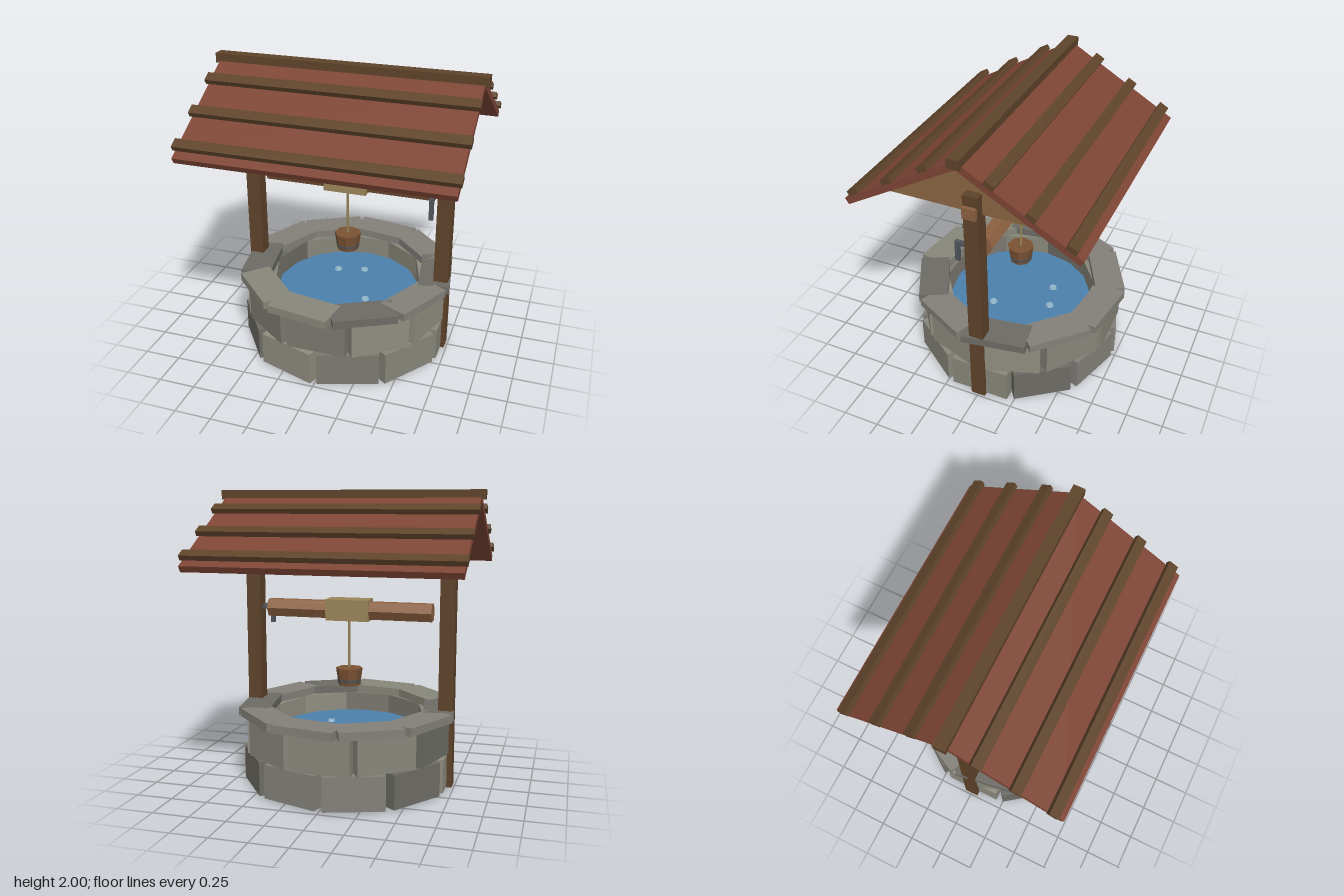
import * as THREE from 'three';

const COLORS = {
  post: 0x5e432a, plank: 0x7d4535, gable: 0x8a6642, log: 0x8c6040, rope: 0x9a8558,
  iron: 0x50555b, bucket: 0x7a5233, water: 0x4a80ad, ripple: 0x8fb4c8, liner: 0x3f3935,
};
const STONES = [0x8f8c7f, 0x7b786f, 0x83807a, 0x6c6b64, 0x87867a];

function mat(color, side = THREE.FrontSide) {
  return new THREE.MeshStandardMaterial({ color, side, flatShading: true });
}

function add(parent, name, geometry, color, x = 0, y = 0, z = 0, side) {
  const mesh = new THREE.Mesh(geometry, mat(color, side));
  mesh.name = name;
  mesh.position.set(x, y, z);
  parent.add(mesh);
  return mesh;
}

const box = (w, h, d) => new THREE.BoxGeometry(w, h, d);

function seeded(seed) {
  return () => {
    seed = (seed * 16807) % 2147483647;
    return seed / 2147483647;
  };
}

// Ring of ten straight blocks; neighbours overlap inside and leave wedge gaps outside
function stoneRing(name, { y0, y1, inner, outer, width, turn }, random) {
  const ring = new THREE.Group();
  ring.name = name;
  for (let i = 0; i < 10; i++) {
    const holder = new THREE.Group();
    holder.rotation.y = turn + (i * Math.PI) / 5;
    const face = outer + (random() - 0.5) * 0.012;
    const color = STONES[Math.floor(random() * STONES.length)];
    const w = width + (random() - 0.5) * 0.02;
    add(holder, 'stone', box(w, y1 - y0, face - inner), color, 0, (y0 + y1) / 2, (face + inner) / 2);
    ring.add(holder);
  }
  return ring;
}

// One roof side: sloping board with three battens
function roofSide(name, turn) {
  const side = new THREE.Group();
  side.name = name;
  side.rotation.y = turn;
  const slope = new THREE.Group();
  slope.position.y = 1.97;
  slope.rotation.x = Math.PI / 6;
  add(slope, 'roofBoard', box(1.77, 0.045, 0.883), COLORS.plank, 0, -0.0225, 0.4415);
  for (const s of [0.225, 0.51, 0.79]) {
    add(slope, 'batten', box(1.8, 0.036, 0.07), COLORS.post, 0, 0.022, s);
  }
  side.add(slope);
  return side;
}

export function createModel() {
  const well = new THREE.Group();
  well.name = 'well';
  const random = seeded(41);
  const deg = Math.PI / 180;

  // Stone wall
  well.add(stoneRing('lowerStones', { y0: 0.01, y1: 0.24, inner: 0.515, outer: 0.705, width: 0.405, turn: 18 * deg }, random));
  well.add(stoneRing('upperStones', { y0: 0.24, y1: 0.48, inner: 0.505, outer: 0.69, width: 0.4, turn: 0 }, random));
  well.add(stoneRing('capStones', { y0: 0.48, y1: 0.535, inner: 0.52, outer: 0.73, width: 0.43, turn: 27 * deg }, random));

  // Shaft lining and water
  add(well, 'lining', new THREE.CylinderGeometry(0.5, 0.5, 0.28, 12, 1, true), COLORS.liner, 0, 0.14, 0, THREE.BackSide);
  const water = add(well, 'water', new THREE.CircleGeometry(0.51, 16), COLORS.water, 0, 0.35, 0, THREE.DoubleSide);
  water.rotation.x = -Math.PI / 2;
  for (const [x, z] of [[-0.14, -0.2], [0.05, -0.25], [0.175, 0.14]]) {
    add(well, 'ripple', new THREE.CylinderGeometry(0.024, 0.03, 0.012, 8), COLORS.ripple, x, 0.356, z);
  }

  // Posts and gables, mirrored
  const triangle = new THREE.Shape([
    new THREE.Vector2(-0.72, 1.5), new THREE.Vector2(0.72, 1.5), new THREE.Vector2(0, 1.918),
  ]);
  for (const s of [1, -1]) {
    add(well, s > 0 ? 'leftPost' : 'rightPost', box(0.1, 1.65, 0.1), COLORS.post, s * 0.685, 0.825, 0);
    const gable = new THREE.ExtrudeGeometry(triangle, { depth: 0.03, bevelEnabled: false });
    gable.translate(0, 0, -0.015);
    gable.rotateY(Math.PI / 2);
    add(well, s > 0 ? 'leftGable' : 'rightGable', gable, COLORS.gable, s * 0.66, 0, 0);
  }
  add(well, 'crossbeam', box(1.52, 0.08, 0.09), COLORS.log, 0, 1.54, 0);

  // Roof
  well.add(roofSide('frontRoof', 0), roofSide('backRoof', Math.PI));
  add(well, 'ridge', box(1.825, 0.065, 0.08), COLORS.post, 0, 1.9675, 0);

  // Winch: six-sided log, wound rope and crank
  const log = new THREE.CylinderGeometry(0.068, 0.068, 1.16, 6);
  log.rotateZ(Math.PI / 2);
  add(well, 'winchLog', log, COLORS.log, 0, 1.19, 0);
  add(well, 'ropeCoil', box(0.3, 0.145, 0.15), COLORS.rope, 0, 1.193, 0);
  add(well, 'axle', box(0.08, 0.026, 0.026), COLORS.iron, 0.595, 1.19, 0);
  add(well, 'crankArm', box(0.028, 0.026, 0.175), COLORS.iron, 0.62, 1.195, 0.0875);
  add(well, 'crankHandle', box(0.028, 0.15, 0.028), COLORS.iron, 0.62, 1.133, 0.161);

  // Rope and bucket
  add(well, 'rope', new THREE.CylinderGeometry(0.008, 0.008, 0.36, 6), COLORS.rope, 0, 0.96, 0);
  const bucket = new THREE.Group();
  bucket.name = 'bucket';
  bucket.position.y = 0.725;
  bucket.rotation.y = 10 * deg;
  add(bucket, 'bucketBody', new THREE.CylinderGeometry(0.093, 0.076, 0.12, 8), COLORS.bucket);
  add(bucket, 'bucketBand', new THREE.CylinderGeometry(0.084, 0.081, 0.02, 8), COLORS.iron, 0, -0.028, 0);
  well.add(bucket);

  return well;
}
